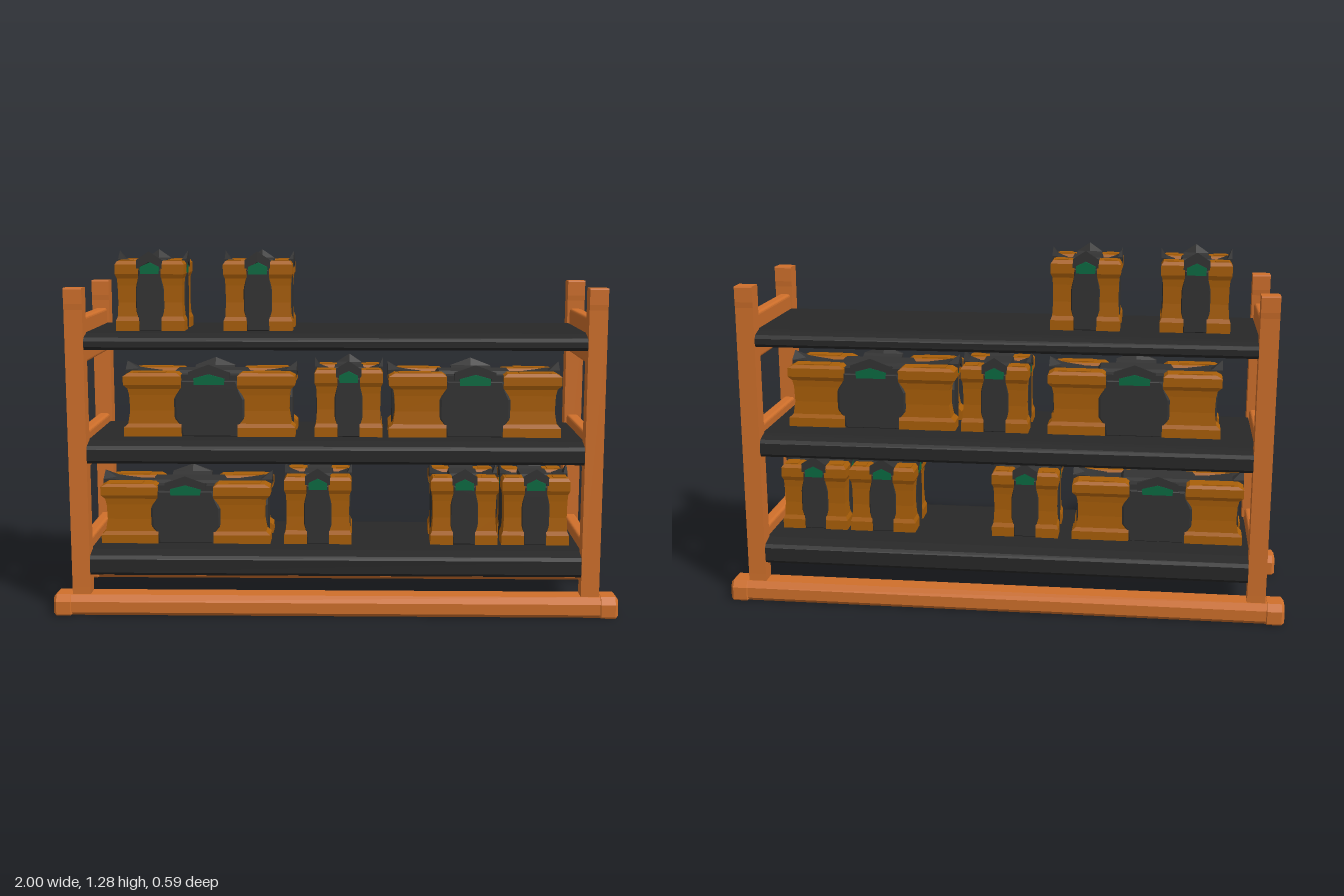
import * as THREE from 'three';
import { RoundedBoxGeometry } from 'three/addons/geometries/RoundedBoxGeometry.js';

const mat = (color) => new THREE.MeshStandardMaterial({ color, flatShading: true });
const wood = mat(0xd0702b);
const amber = mat(0xaa5f08);
const dark = mat(0x333333);
const shelfDark = mat(0x282828);
const green = mat(0x0a6b42);

function add(parent, name, geometry, material, x = 0, y = 0, z = 0) {
  const mesh = new THREE.Mesh(geometry, material);
  mesh.name = name;
  mesh.position.set(x, y, z);
  parent.add(mesh);
  return mesh;
}

const shapeOf = (pts) => new THREE.Shape(pts.map(([x, y]) => new THREE.Vector2(x, y)));

// Mirrors a half outline (x >= 0, listed bottom to top) into a closed shape
const mirrored = (half) => shapeOf([...half, ...half.slice().reverse().filter(([x]) => x > 0).map(([x, y]) => [-x, y])]);

const extrude = (shape, depth, bevel = 0, steps = 1) => new THREE.ExtrudeGeometry(shape, {
  depth, steps, bevelEnabled: bevel > 0, bevelSize: bevel, bevelThickness: bevel, bevelOffset: -bevel, bevelSegments: 1,
});

// Square column whose four sides follow rings of [y, low x, high x, low z, high z]
function column(rings) {
  const n = rings.length - 1;
  const g = new THREE.BoxGeometry(1, 1, 1, 1, n, 1);
  const p = g.attributes.position;
  for (let i = 0; i < p.count; i++) {
    const [y, x0, x1, z0, z1] = rings[Math.round((p.getY(i) + 0.5) * n)];
    p.setXYZ(i, p.getX(i) < 0 ? x0 : x1, y, p.getZ(i) < 0 ? z0 : z1);
  }
  g.computeVertexNormals();
  return g;
}

// Chest parts, shared by all chests
const pillarProfile = [[0, 0.122], [0.035, 0.122], [0.05, 0.116], [0.1, 0.113], [0.16, 0.114],
  [0.185, 0.116], [0.2, 0.122], [0.234, 0.122], [0.246, 0.114]];
function pillarGeometry(sx, sz) {
  const span = (s, r, y) => {
    const inner = y > 0.24 ? 0.046 : 0.04;
    return s > 0 ? [inner, r] : [-r, -inner];
  };
  return column(pillarProfile.map(([y, r]) => [y, ...span(sx, r, y), ...span(sz, r, y)]));
}
const panelGeometry = extrude(mirrored([[0.04, 0], [0.042, 0.035], [0.05, 0.07], [0.05, 0.145],
  [0.044, 0.18], [0.04, 0.215]]), 0.034, 0.003);
const gemGeometry = extrude(mirrored([[0.033, 0.2], [0.034, 0.225], [0, 0.241]]), 0.02);
const crestGeometry = extrude(shapeOf([[0.045, 0.22], [0.045, 0.25], [0, 0.28], [-0.045, 0.25], [-0.045, 0.22],
  [-0.035, 0.22], [-0.035, 0.226], [0, 0.243], [0.035, 0.226], [0.035, 0.22]]), 0.048, 0, 3);
{
  // The crest sweeps back down towards the lid in a hooked curve
  const caps = [0.238, 0.243, 0.25, 0.28];
  const p = crestGeometry.attributes.position;
  for (let i = 0; i < p.count; i++) {
    p.setY(i, Math.min(p.getY(i), caps[Math.round(p.getZ(i) / 0.048 * 3)]));
  }
  crestGeometry.computeVertexNormals();
}

function createChest(stretchX, stretchY) {
  const chest = new THREE.Group();
  chest.name = 'chest';
  add(chest, 'chestBody', new THREE.BoxGeometry(0.2, 0.236, 0.2), dark, 0, 0.118, 0);
  add(chest, 'lidPlate', column([[0.23, -0.056, 0.056, -0.056, 0.056], [0.249, -0.05, 0.05, -0.05, 0.05]]), dark);
  for (const sx of [-1, 1]) for (const sz of [-1, 1]) {
    add(chest, 'cornerPillar', pillarGeometry(sx, sz), amber);
    add(chest, 'cornerTile', new THREE.BoxGeometry(0.046, 0.008, 0.046), amber, sx * 0.085, 0.245, sz * 0.085);
  }
  for (let i = 0; i < 4; i++) {
    const side = new THREE.Group();
    side.name = 'chestSide';
    side.rotation.y = i * Math.PI / 2;
    add(side, 'sidePanel', panelGeometry, dark, 0, 0, 0.08);
    const gem = add(side, 'gem', gemGeometry, green, 0, 0, 0.099);
    const crest = add(side, 'crest', crestGeometry, dark, 0, 0, 0.075);
    // Ornaments on the long faces keep their compact width
    if (i % 2 === 0 && stretchX > 1) gem.scale.x = crest.scale.x = 0.65;
    chest.add(side);
  }
  chest.scale.set(stretchX, stretchY, 1);
  return chest;
}

export function createModel() {
  const rack = new THREE.Group();
  rack.name = 'storageRack';

  // Floor rails with slightly chunkier feet at both ends
  const rail = extrude(mirrored([[0.038, 0], [0.048, 0.012], [0.048, 0.05], [0.034, 0.074]]), 1.9);
  rail.rotateY(Math.PI / 2);
  const foot = extrude(mirrored([[0.048, 0], [0.051, 0.005], [0.051, 0.05], [0.035, 0.075]]), 0.05, 0.01);
  foot.rotateY(Math.PI / 2);
  for (const sz of [-1, 1]) {
    add(rack, 'floorRail', rail, wood, -0.95, 0, sz * 0.243);
    for (const sx of [-1, 1]) add(rack, 'railFoot', foot, wood, sx * 0.965 - 0.025, 0, sz * 0.243);
  }

  // Corner posts with slightly deeper heads
  const post = column([[0.03, 0.031], [0.1, 0.03], [1.085, 0.03], [1.105, 0.032], [1.155, 0.032], [1.16, 0.03]]
    .map(([y, r]) => [y, -0.032, 0.032, -r, r]));
  for (const sx of [-1, 1]) for (const sz of [-1, 1]) add(rack, 'post', post, wood, sx * 0.901, 0, sz * 0.244);

  // Boards joining the posts at each end
  for (const [y0, y1] of [[0.128, 0.26], [0.515, 0.65], [0.892, 1.055]]) {
    const board = new RoundedBoxGeometry(0.044, y1 - y0, 0.45, 2, 0.01);
    for (const s of [-1, 1]) add(rack, 'endBoard', board, wood, s * 0.9, (y0 + y1) / 2, 0);
  }

  // Shelves: thin decks with thick, sloping front and back edges
  for (const [top, h] of [[0.225, 0.082], [0.62, 0.074], [1.0, 0.054]]) {
    const outer = [[0.225, -h], [0.264, -h], [0.272, -h + 0.01], [0.272, -0.024], [0.262, -0.012], [0.235, -0.004], [0.215, 0]];
    const inner = [[0.215, -h + 0.012], [0.21, -0.02]];
    const flip = ([x, y]) => [-x, y];
    const shelf = extrude(shapeOf([...outer, ...outer.slice().reverse().map(flip),
      ...inner.map(flip), ...inner.slice().reverse()]), 1.75);
    shelf.rotateY(Math.PI / 2);
    add(rack, 'shelf', shelf, shelfDark, -0.875, top, 0);
  }

  // Chests: [centre x, shelf height, stretch along x, stretch along y]
  const chests = [
    [-0.657, 1.0, 1, 1], [-0.275, 1.0, 1, 1],
    [-0.453, 0.62, 2.52, 0.93], [0.046, 0.62, 1, 0.98], [0.497, 0.62, 2.52, 0.93],
    [-0.545, 0.225, 2.52, 0.89], [-0.065, 0.225, 1, 1], [0.465, 0.225, 1, 1], [0.722, 0.225, 1, 1],
  ];
  for (const [x, y, stretchX, stretchY] of chests) {
    const chest = createChest(stretchX, stretchY);
    chest.position.set(x, y, 0.012);
    rack.add(chest);
  }
  return rack;
}
